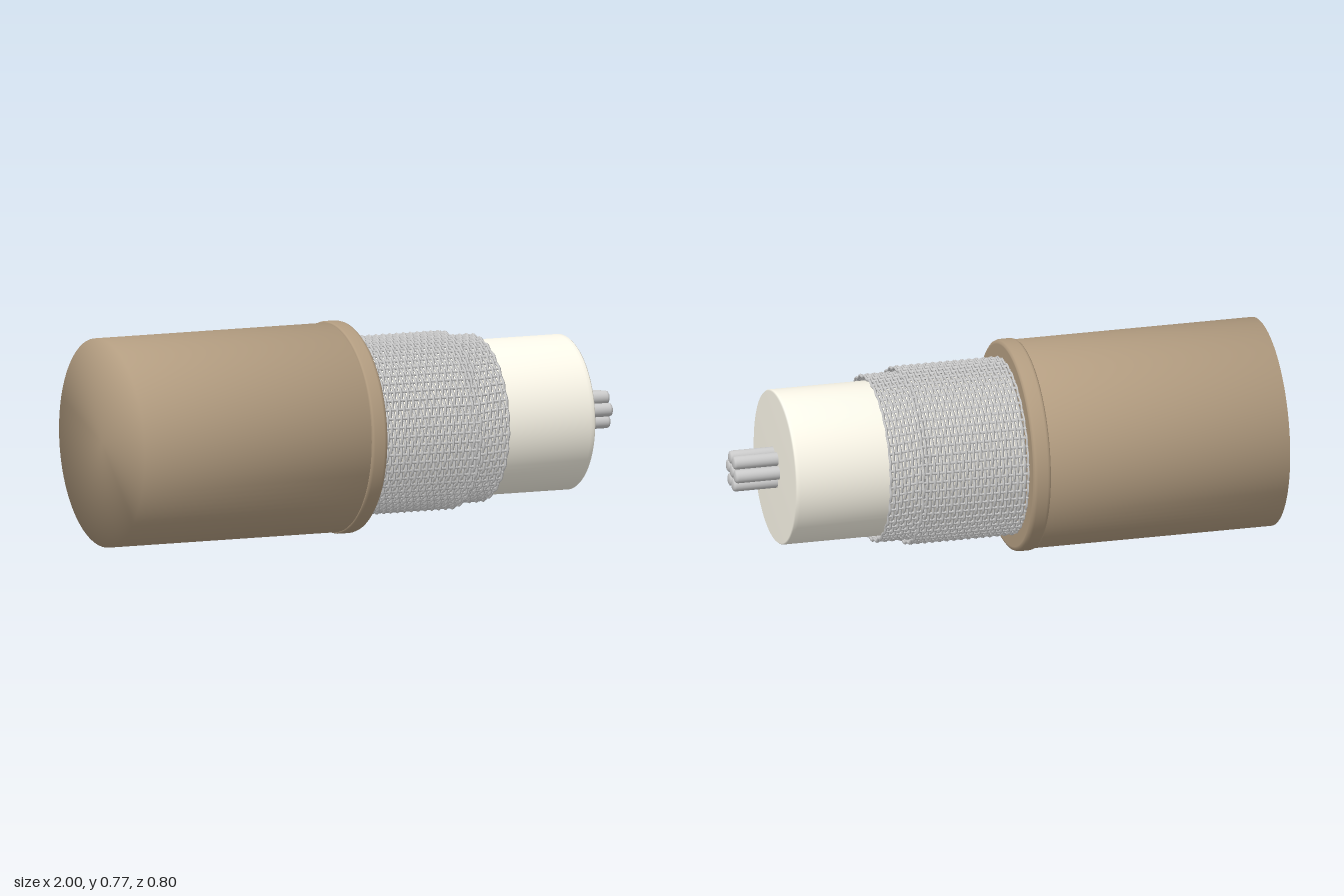
import * as THREE from 'three';
import { mergeGeometries } from 'three/addons/utils/BufferGeometryUtils.js';

const mat = (color) => new THREE.MeshStandardMaterial({ color });

// Smooth solid of revolution about the cable axis; points are [radius, position along the axis]
function turned(name, points, material, segments = 96) {
  const profile = points.map(([r, s]) => new THREE.Vector2(r, s));
  const mesh = new THREE.Mesh(new THREE.LatheGeometry(profile, segments), material);
  mesh.name = name;
  return mesh;
}

// Woven sleeve: wavy hoops passing over and under lengthwise wires
function braid(name, radius, start, end, twist, material) {
  const wire = 0.0055, wave = 0.004, pairs = 30, pitch = 0.0135;
  const parts = [];
  const count = Math.round((end - start) / pitch);
  for (let i = 0; i <= count; i++) {
    const s = start + ((end - start) * i) / count;
    const hoop = new THREE.TorusGeometry(radius, wire, 5, pairs * 6);
    hoop.rotateX(-Math.PI / 2);
    const p = hoop.attributes.position;
    const phase = i * Math.PI + twist * (s - start) * pairs;
    for (let k = 0; k < p.count; k++) {
      const x = p.getX(k), z = p.getZ(k), r = Math.hypot(x, z);
      const f = 1 + (wave * Math.cos(Math.atan2(z, x) * pairs - phase)) / r;
      p.setXYZ(k, x * f, p.getY(k) + s, z * f);
    }
    hoop.computeVertexNormals();
    parts.push(hoop);
  }
  for (let j = 0; j < pairs * 2; j++) {
    const rod = new THREE.CylinderGeometry(wire, wire, end - start, 5, 6);
    const p = rod.attributes.position;
    for (let k = 0; k < p.count; k++) {
      const t = p.getY(k) + (end - start) / 2;
      const a = (j * Math.PI) / pairs + twist * t;
      const r = radius + p.getX(k), w = p.getZ(k);
      p.setXYZ(k, r * Math.cos(a) - w * Math.sin(a), start + t, r * Math.sin(a) + w * Math.cos(a));
    }
    rod.computeVertexNormals();
    parts.push(rod);
  }
  const mesh = new THREE.Mesh(mergeGeometries(parts), material);
  mesh.name = name;
  return mesh;
}

export function createModel() {
  const model = new THREE.Group();
  model.name = 'coaxialCable';

  const brown = mat(0xb29c80), cream = mat(0xfcf8ea), grey = mat(0xcccccc);

  // Everything is built along y, then laid along x
  const cable = new THREE.Group();
  cable.name = 'cable';
  cable.rotation.z = -Math.PI / 2;

  // Outer jacket with a rounded lip at the stripped end
  cable.add(turned('jacket', [[0, -0.985], [0.377, -0.985], [0.377, -0.06], [0, -0.06]], brown));
  cable.add(turned('jacketLip', [
    [0.3, -0.093], [0.376, -0.093], [0.381, -0.087], [0.383, -0.08],
    [0.383, -0.043], [0.38, -0.034], [0.372, -0.028], [0.366, -0.028], [0.27, -0.028],
  ], brown));

  // Two layers of shield braid
  cable.add(braid('outerBraid', 0.315, -0.04, 0.365, 0, grey));
  cable.add(braid('innerBraid', 0.2965, 0.345, 0.482, 0.35, grey));

  // Insulating core
  cable.add(turned('insulation', [
    [0, -0.06], [0.28, -0.06], [0.28, 0.815], [0.28, 0.828], [0.276, 0.833], [0, 0.833],
  ], cream));

  // Seven-strand conductor
  const conductor = new THREE.Group();
  conductor.name = 'conductor';
  const r = 0.0245;
  for (let i = 0; i < 7; i++) {
    const strand = turned('strand', [
      [0, 0.8], [r, 0.8], [r, 0.985], [r * 0.9, 0.993], [r * 0.6, 0.997], [0, 0.998],
    ], grey, 24);
    if (i > 0) {
      const a = ((i - 1) * Math.PI) / 3 + 0.09;
      strand.position.set(-0.05 * Math.sin(a), 0, 0.05 * Math.cos(a));
    }
    conductor.add(strand);
  }
  cable.add(conductor);

  // The cable lies at a slight angle
  const lay = new THREE.Group();
  lay.name = 'laidCable';
  lay.add(cable);
  lay.rotation.y = -0.0415;
  lay.position.set(0, 0.383, 0.02);
  model.add(lay);
  return model;
}
